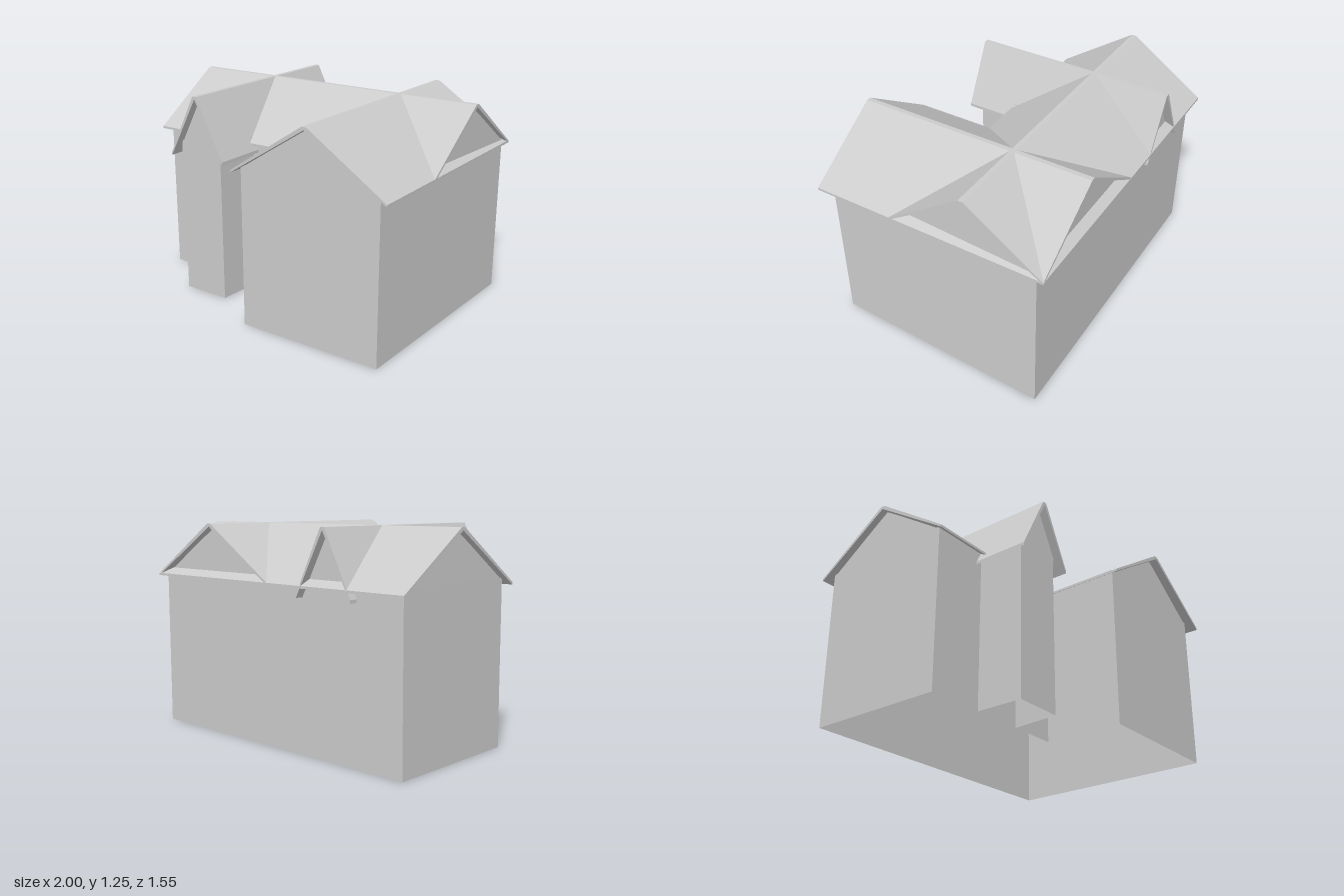
import * as THREE from 'three';

const mat = new THREE.MeshStandardMaterial({ color: 0xcccccc, flatShading: true });
const thinMat = new THREE.MeshStandardMaterial({ color: 0xcccccc, flatShading: true, side: THREE.DoubleSide });

const WALL_TOP = 0.96, RIDGE = 1.245;

function add(group, name, geometry, material = mat) {
  const mesh = new THREE.Mesh(geometry, material);
  mesh.name = name;
  group.add(mesh);
  return mesh;
}

// Non-indexed surface from a flat list of triangle corners
function surface(points) {
  const g = new THREE.BufferGeometry();
  g.setAttribute('position', new THREE.Float32BufferAttribute(points.flat(), 3));
  g.computeVertexNormals();
  return g;
}

// Thin saddle roof along z, with a narrow flat ridge
function saddleRoof(half, eave, length, thick) {
  const cap = 0.014;
  const s = new THREE.Shape([
    [-half, eave], [0, RIDGE - 0.016], [half, eave], [half, eave + thick],
    [cap, RIDGE], [-cap, RIDGE], [-half, eave + thick],
  ].map(([x, y]) => new THREE.Vector2(x, y)));
  return new THREE.ExtrudeGeometry(s, { depth: length, bevelEnabled: false }).translate(0, 0, -length / 2);
}

export function createModel() {
  const root = new THREE.Group();
  root.name = 'house';
  const house = new THREE.Group();
  house.name = 'houseBody';
  house.rotation.y = -0.059; // the plan is turned slightly
  root.add(house);

  // Open-bottomed outer walls, following the footprint counter-clockwise from above
  const plan = [
    [-0.946, -0.667], [-0.951, 0.18], [-0.604, 0.18], [-0.604, 0.465], [-0.308, 0.465], [-0.286, 0.18],
    [0.015, 0.18], [0.01, 0.663], [0.891, 0.663], [0.937, -0.667],
  ];
  const walls = [];
  plan.forEach(([x0, z0], i) => {
    const [x1, z1] = plan[(i + 1) % plan.length];
    const a = [x0, 0, z0], b = [x1, 0, z1], c = [x1, WALL_TOP, z1], d = [x0, WALL_TOP, z0];
    walls.push(a, b, c, a, c, d);
  });
  add(house, 'walls', surface(walls), thinMat);

  // Gable triangles: left corner, right corner (seen from outside) and apex, as x, z
  const gables = {
    leftWingFrontGable: [[-0.595, 0.465], [-0.296, 0.465], [-0.443, 0.465]],
    leftWingBackGable: [[-0.292, -0.667], [-0.594, -0.667], [-0.443, -0.667]],
    rightWingFrontGable: [[0.02, 0.663], [0.891, 0.663], [0.467, 0.663]],
    rightWingBackGable: [[0.912, -0.667], [0.02, -0.667], [0.467, -0.667]],
    mainLeftGable: [[-0.946, -0.667], [-0.951, 0.18], [-0.948, -0.245]],
    mainRightGable: [[0.908, 0.18], [0.937, -0.667], [0.922, -0.245]],
  };
  for (const [name, [l, r, t]] of Object.entries(gables)) {
    add(house, name, surface([[l[0], 0.945, l[1]], [r[0], 0.945, r[1]], [t[0], 1.232, t[1]]]), thinMat);
  }

  // Three crossing roofs at one ridge height
  const main = add(house, 'mainRoof', saddleRoof(0.4735, 0.92, 1.948, 0.014));
  main.rotation.y = Math.PI / 2;
  main.position.set(-0.015, 0, -0.245);
  add(house, 'rightWingRoof', saddleRoof(0.49, 0.92, 1.431, 0.014)).position.set(0.467, 0, -0.001);
  add(house, 'leftWingRoof', saddleRoof(0.195, 0.868, 1.231, 0.018)).position.set(-0.447, 0, -0.1);

  return root;
}
